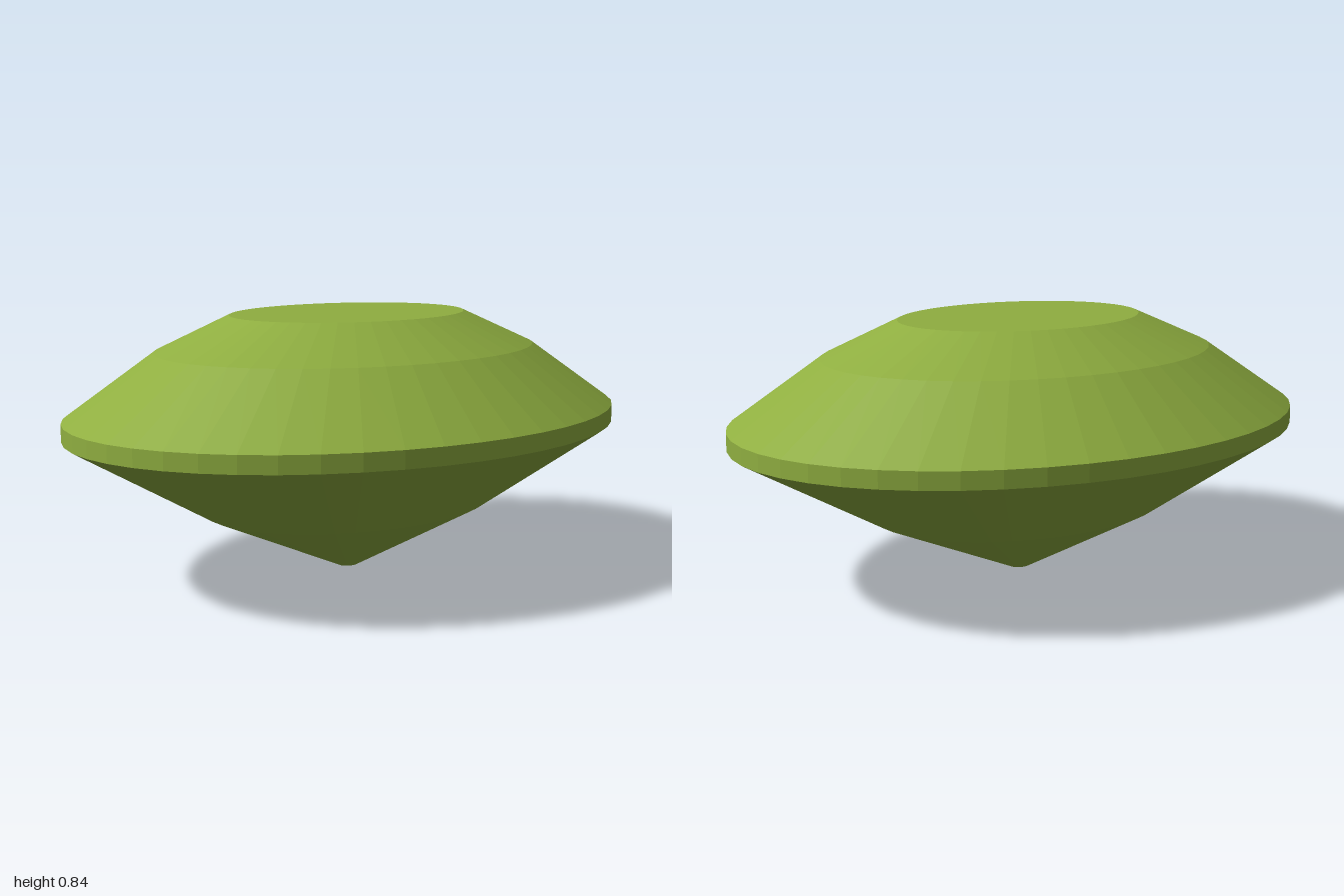
import * as THREE from 'three';

export function createModel() {
  const model = new THREE.Group();
  model.name = 'ovalGem';
  const green = new THREE.MeshStandardMaterial({ color: 0x8fae40, flatShading: true });
  green.name = 'peridotGreen';

  // Oval outline: half-widths across and along, turned slightly about y
  const halfWidth = 0.779, halfLength = 1.0045, turn = 0.15;

  // One band of the cut stone, from [radius, height] pairs running upward
  function band(name, profile) {
    const points = profile.map(([r, y]) => new THREE.Vector2(r, y));
    const geometry = new THREE.LatheGeometry(points, 48);
    geometry.scale(halfWidth, 1, halfLength);
    geometry.rotateY(turn);
    const mesh = new THREE.Mesh(geometry.toNonIndexed(), green);
    mesh.geometry.computeVertexNormals();
    mesh.name = name;
    model.add(mesh);
  }

  band('culet', [[0, 0], [0.035, 0]]);
  band('pavilion', [[0.035, 0], [0.525, 0.21], [1, 0.475]]);
  band('girdle', [[1, 0.475], [1, 0.53]]);
  band('crown', [[1, 0.53], [0.69, 0.73], [0.428, 0.84]]);
  band('table', [[0.428, 0.84], [0, 0.84]]);

  return model;
}
